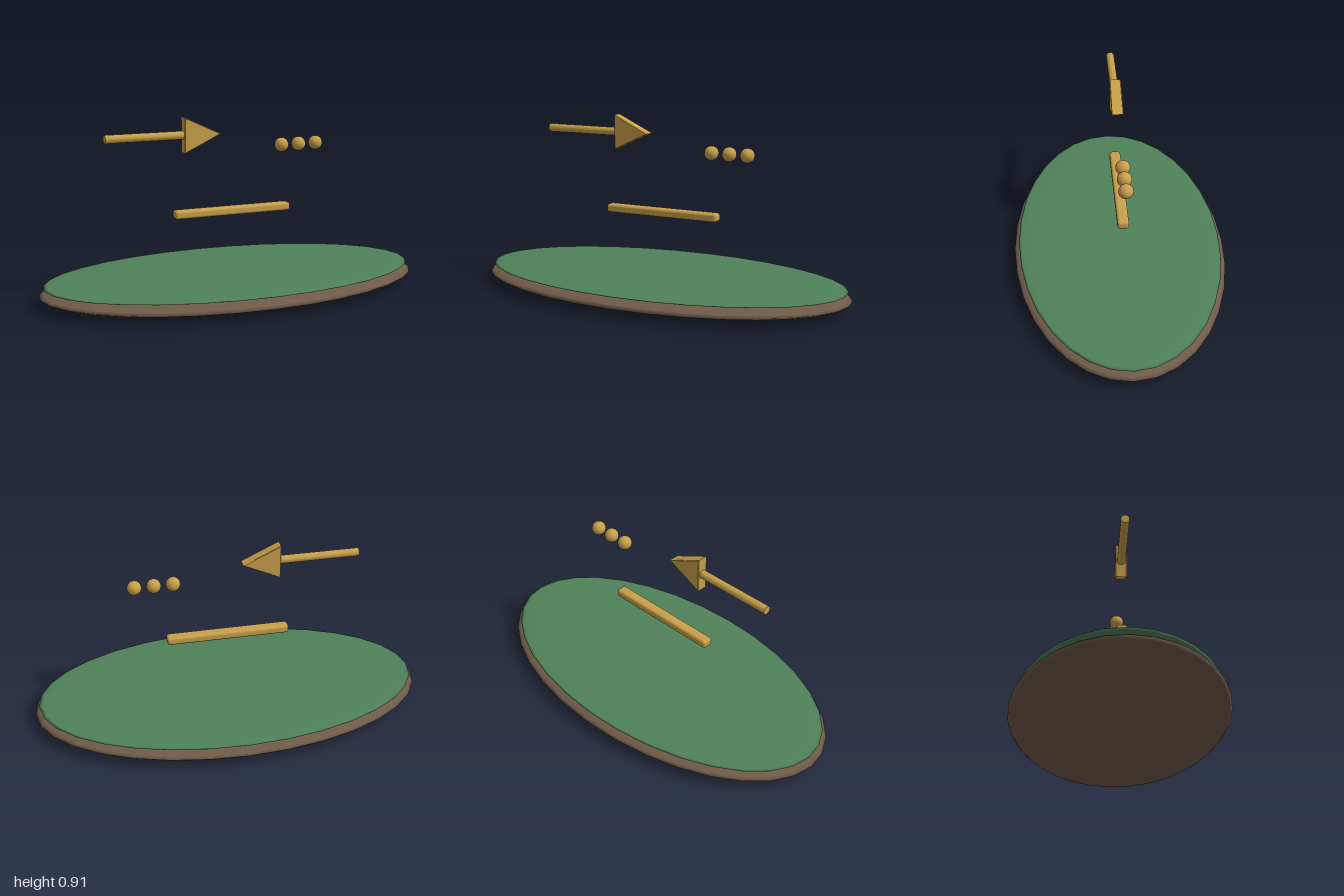
import * as THREE from 'three';
import { RoundedBoxGeometry } from 'three/addons/geometries/RoundedBoxGeometry.js';

export function createModel() {
  const model = new THREE.Group();
  const brown = new THREE.MeshStandardMaterial({ color: 0x705b49 });
  const green = new THREE.MeshStandardMaterial({ color: 0x4f8259 });
  const gold = new THREE.MeshStandardMaterial({ color: 0xc8a04a });

  const add = (name, geometry, material, x, y, parent = model) => {
    const mesh = new THREE.Mesh(geometry, material);
    mesh.name = name;
    mesh.position.set(x, y, 0);
    parent.add(mesh);
    return mesh;
  };

  // Flattened oval base with a thinner oval top
  const disc = new THREE.SphereGeometry(1, 32, 16);
  add('base', disc, brown, 0, 0.058).scale.set(1, 0.058, 0.546);
  add('topSurface', disc, green, 0, 0.102).scale.set(0.98, 0.017, 0.522);

  // Floating bar
  add('bar', new RoundedBoxGeometry(0.626, 0.043, 0.057, 3, 0.014), gold, 0, 0.423);

  // Arrow: round shaft and a triangular prism head
  const arrow = new THREE.Group();
  arrow.name = 'arrow';
  arrow.position.set(0, 0.82, 0);
  model.add(arrow);
  const shaft = new THREE.CylinderGeometry(0.021, 0.021, 0.41, 16).rotateZ(Math.PI / 2);
  add('arrowShaft', shaft, gold, -0.46, 0, arrow);

  const outline = new THREE.Shape([
    new THREE.Vector2(-0.262, -0.089),
    new THREE.Vector2(-0.072, 0),
    new THREE.Vector2(-0.262, 0.089),
  ]);
  const head = new THREE.ExtrudeGeometry(outline, {
    depth: 0.05, bevelThickness: 0.003, bevelSize: 0.003, bevelOffset: -0.003, bevelSegments: 1,
  }).translate(0, 0, -0.025);
  add('arrowHead', head, gold, 0, 0, arrow);

  // Row of three dots
  const dot = new THREE.SphereGeometry(0.036, 24, 16);
  for (let i = 0; i < 3; i++) add('dot', dot, gold, 0.273 + i * 0.096, 0.743);

  return model;
}
